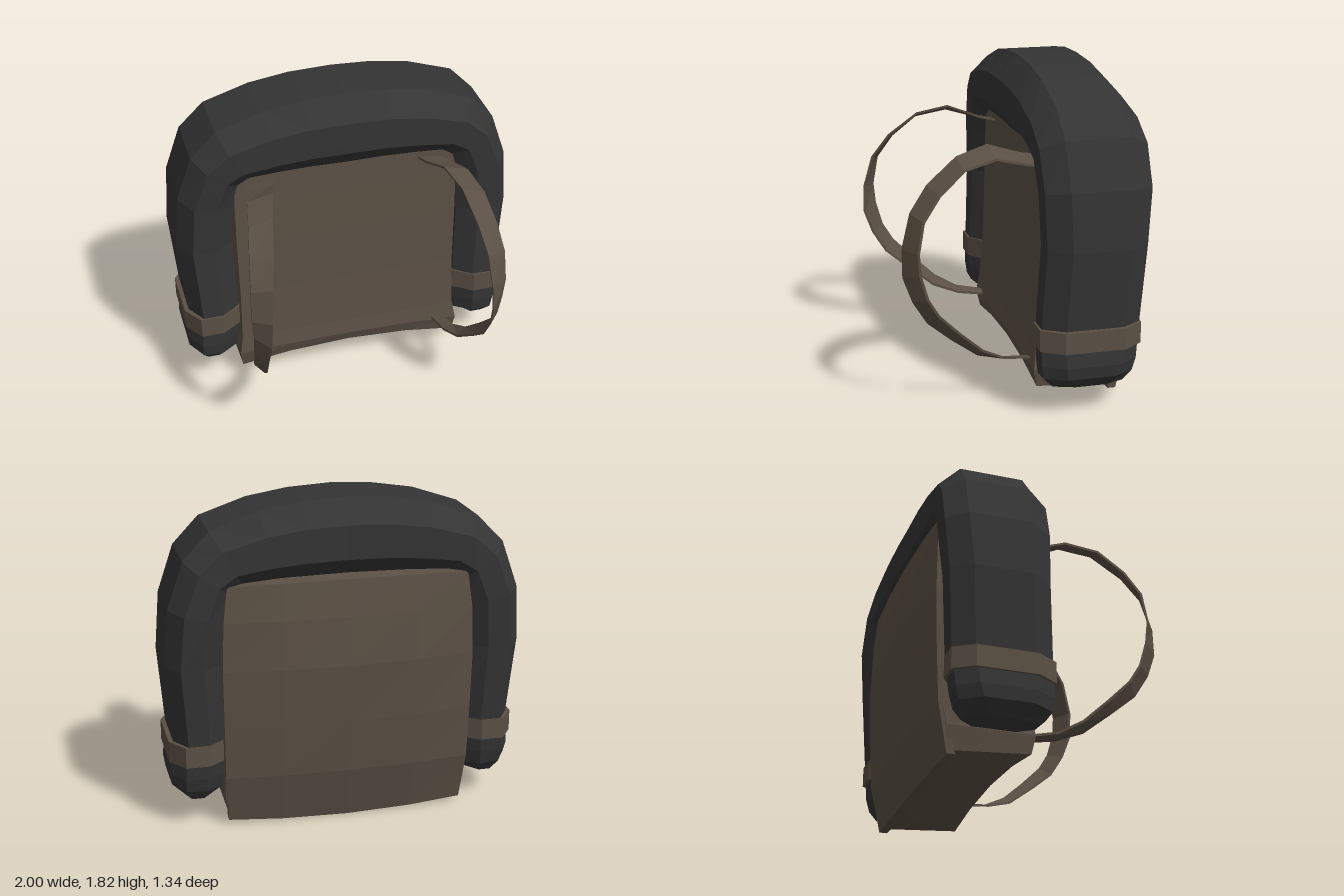
import * as THREE from 'three';

const canvasBrown = new THREE.MeshStandardMaterial({ color: 0x5a4f44, flatShading: true });
canvasBrown.name = 'canvasBrown';
const blanketGrey = new THREE.MeshStandardMaterial({ color: 0x343434, flatShading: true });
blanketGrey.name = 'blanketGrey';

// Skins a list of closed rings (counter-clockwise around the path) and caps both ends
function loft(name, rings, material) {
  const n = rings[0].length, last = (rings.length - 1) * n, index = [];
  for (let i = 0; i < rings.length - 1; i++) {
    for (let j = 0; j < n; j++) {
      const a = i * n + j, b = i * n + (j + 1) % n;
      index.push(a, b, b + n, a, b + n, a + n);
    }
  }
  // caps zip across the ring so that flat, wide rings stay tidy
  for (let lo = 0, hi = n - 1; hi - lo > 1; lo++, hi--) {
    for (const [a, b, c] of [[lo, lo + 1, hi], [lo + 1, hi - 1, hi]]) {
      index.push(a, c, b, last + a, last + b, last + c);
    }
  }
  const geometry = new THREE.BufferGeometry();
  geometry.setAttribute('position', new THREE.Float32BufferAttribute(rings.flat(2), 3));
  geometry.setIndex(index);
  geometry.computeVertexNormals();
  const mesh = new THREE.Mesh(geometry, material);
  mesh.name = name;
  return mesh;
}

const mirrorRing = (ring) => ring.map(([x, y, z]) => [-x, y, z]).reverse();

// Eight-sided section between an outer and an inner point of the bedroll;
// s and t place the two creases between inner (0) and outer (1)
function rollRing([xo, yo, xi, yi, zf, zb, s = 0.36, t = 0.76]) {
  return [[s, zf], [t, zf], [1, zf - 0.12], [1, zb + 0.11],
    [t, zb], [s, zb], [0, zb + 0.08], [0, zf - 0.08]]
    .map(([k, z]) => [xi + (xo - xi) * k, yi + (yo - yi) * k, z]);
}

// Slab ring: front edge left to right, back edge right to left
const columns = [-1, -0.55, 0, 0.55, 1];
function slabRing({ y, w, zf, zb, lift = 0, bulge = 0, drop = 0, tilt = 0, inset = 0 }) {
  const round = (u) => 1 - u * u;
  const front = columns.map((u) => [u * (w - inset), y + (lift - drop) * round(u), zf]);
  const back = columns.map((u) => [
    u * w, y - tilt + (lift * 0.3 - drop) * round(u), zb - bulge * round(u)]);
  return [...front, ...back.reverse()];
}

// Strap ring from its inside and outside edge, thickened away from the loop's middle
function strapRing([inside, outside]) {
  const shift = ([x, y, z], d) => {
    const r = Math.hypot(y - 0.8, z);
    return [x, y + d * (y - 0.8) / r, z + d * z / r];
  };
  return [shift(outside, 0.014), inside, shift(inside, -0.014), outside];
}

export function createModel() {
  const model = new THREE.Group();
  model.name = 'backpack';

  // Bag body
  model.add(loft('bagBody', [
    { y: 0.08, w: 0.665, zf: -0.07, zb: -0.53, lift: 0.06, tilt: 0.035 },
    { y: 0.18, w: 0.69, zf: -0.05, zb: -0.54, lift: 0.02, inset: 0.01 },
    { y: 0.29, w: 0.69, zf: -0.065, zb: -0.56, inset: 0.03 },
    { y: 0.6, w: 0.695, zf: -0.09, zb: -0.58, inset: 0.04 },
    { y: 0.95, w: 0.7, zf: -0.1, zb: -0.58, inset: 0.04 },
    { y: 1.2, w: 0.69, zf: -0.105, zb: -0.58, inset: 0.03 },
    { y: 1.385, w: 0.665, zf: -0.11, zb: -0.56, lift: 0.025, inset: 0.015 },
    { y: 1.39, w: 0.655, zf: -0.13, zb: -0.55, lift: 0.025, inset: 0.01 },
  ].map(slabRing), canvasBrown));

  // Long flap over the back
  model.add(loft('backFlap', [
    { y: 0.025, w: 0.67, zf: -0.485, zb: -0.53, drop: 0.025, bulge: 0.025 },
    { y: 0.3, w: 0.69, zf: -0.53, zb: -0.585, bulge: 0.042 },
    { y: 0.6, w: 0.695, zf: -0.55, zb: -0.6, bulge: 0.053 },
    { y: 0.93, w: 0.7, zf: -0.55, zb: -0.61, bulge: 0.06 },
    { y: 1.2, w: 0.69, zf: -0.55, zb: -0.605, bulge: 0.04 },
    { y: 1.395, w: 0.665, zf: -0.53, zb: -0.59, lift: 0.02, bulge: 0.02 },
  ].map(slabRing), canvasBrown));

  // Bedroll bent over the bag: outer x, y, inner x, y, front z, back z, creases
  const half = [
    [0.91, 0.16, 0.74, 0.16, -0.1, -0.5],
    [0.97, 0.23, 0.69, 0.21, -0.04, -0.54],
    [0.98, 0.3, 0.68, 0.3, -0.03, -0.56],
    [0.96, 0.5, 0.67, 0.5, -0.03, -0.58],
    [1, 0.95, 0.68, 0.95, -0.05, -0.605],
    [0.975, 1.27, 0.66, 1.2, -0.04, -0.63],
    [0.885, 1.53, 0.635, 1.34, -0.03, -0.625, 0.3, 0.72],
    [0.74, 1.68, 0.57, 1.385, -0.02, -0.61, 0.25, 0.69],
    [0.475, 1.77, 0.39, 1.395, -0.02, -0.6, 0.24, 0.69],
    [0.24, 1.808, 0.2, 1.4, -0.02, -0.595, 0.24, 0.69],
  ];
  const flip = ([xo, yo, xi, ...rest]) => [-xo, yo, -xi, ...rest];
  const path = [...half, [0, 1.82, 0, 1.4, -0.015, -0.59, 0.24, 0.69], ...half.map(flip).reverse()];
  model.add(loft('bedroll', path.map(rollRing), blanketGrey));

  // Bands round the two ends of the bedroll
  const band = [0.385, 0.505].map((y) => rollRing([0.985, y, 0.665, y, -0.018, -0.585]));
  model.add(loft('leftBand', band, canvasBrown));
  model.add(loft('rightBand', band.map(mirrorRing), canvasBrown));

  // Shoulder straps: inside edge then outside edge, from top to bottom
  const strap = [
    [[0.42, 1.345, -0.16], [0.56, 1.31, -0.16]],
    [[0.445, 1.37, -0.03], [0.6, 1.33, -0.03]],
    [[0.49, 1.44, 0.17], [0.635, 1.38, 0.15]],
    [[0.537, 1.395, 0.35], [0.67, 1.34, 0.33]],
    [[0.575, 1.26, 0.52], [0.7, 1.22, 0.47]],
    [[0.605, 1.12, 0.62], [0.72, 1.09, 0.56]],
    [[0.625, 0.93, 0.67], [0.725, 0.92, 0.59]],
    [[0.635, 0.77, 0.67], [0.715, 0.8, 0.58]],
    [[0.645, 0.63, 0.62], [0.71, 0.66, 0.54]],
    [[0.64, 0.5, 0.54], [0.7, 0.56, 0.48]],
    [[0.63, 0.39, 0.41], [0.68, 0.44, 0.36]],
    [[0.59, 0.265, 0.25], [0.645, 0.32, 0.23]],
    [[0.55, 0.215, 0.1], [0.61, 0.25, 0.1]],
    [[0.52, 0.195, -0.09], [0.57, 0.22, -0.09]],
  ].map(strapRing);
  model.add(loft('leftShoulderStrap', strap, canvasBrown));
  model.add(loft('rightShoulderStrap', strap.map(mirrorRing), canvasBrown));

  return model;
}
